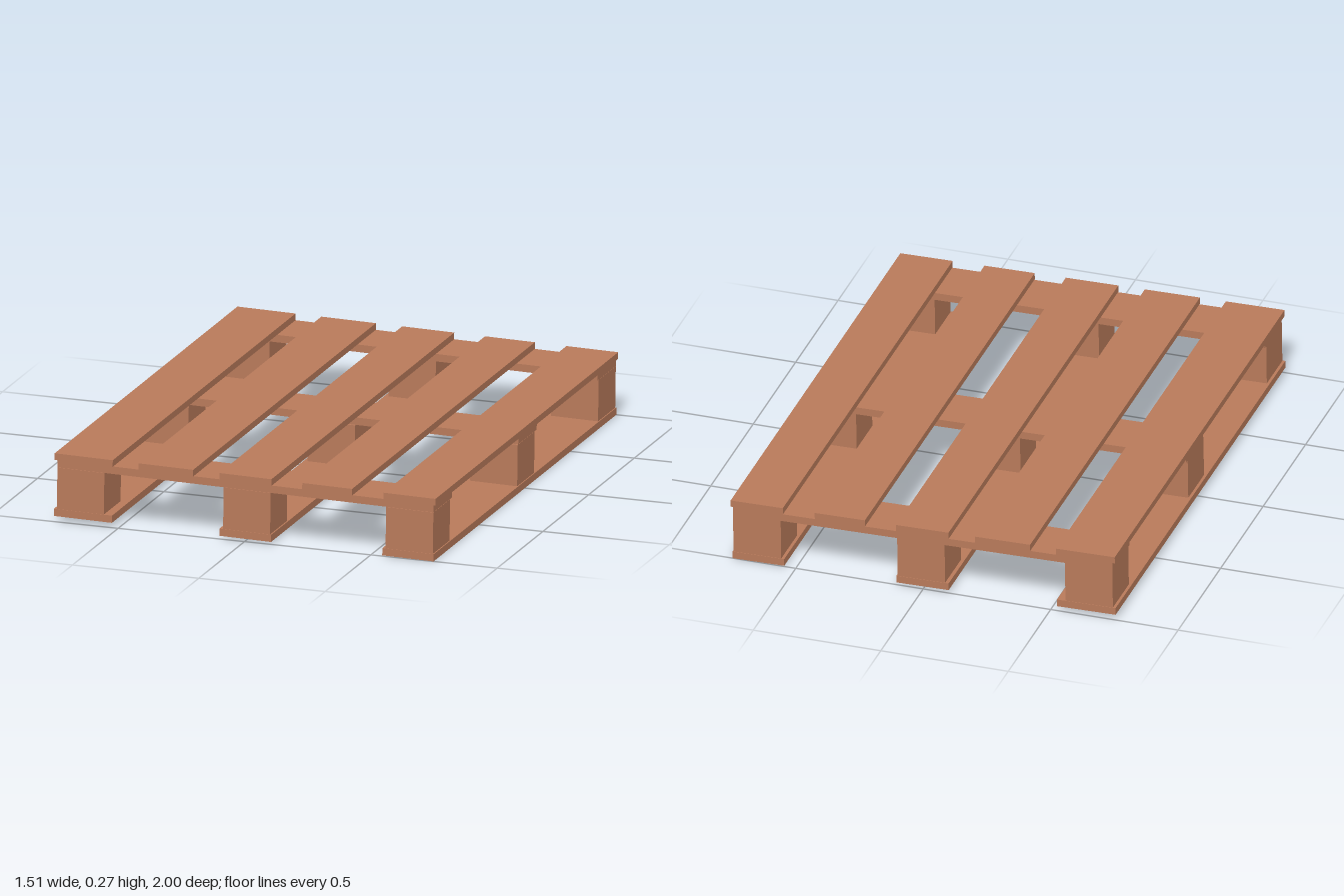
import * as THREE from 'three';

export function createModel() {
  const pallet = new THREE.Group();
  pallet.name = 'pallet';
  const wood = new THREE.MeshStandardMaterial({ color: 0xb87a5a, flatShading: true });

  // Box given by its extents along each axis
  function plank(name, [x0, x1], [y0, y1], [z0, z1]) {
    const mesh = new THREE.Mesh(new THREE.BoxGeometry(x1 - x0, y1 - y0, z1 - z0), wood);
    mesh.position.set((x0 + x1) / 2, (y0 + y1) / 2, (z0 + z1) / 2);
    mesh.name = name;
    pallet.add(mesh);
  }

  const length = [-1, 1];
  const bottomY = [0.011, 0.039], blockY = [0.039, 0.2], crossY = [0.2, 0.229], topY = [0.229, 0.255];

  // Long deck boards
  [[-0.755, -0.525], [-0.423, -0.207], [-0.103, 0.103], [0.225, 0.422], [0.547, 0.752]]
    .forEach(x => plank('deckBoard', x, topY, length));

  // Cross boards under the deck
  [[-1, -0.8], [-0.135, 0.067], [0.79, 0.995]]
    .forEach(z => plank('crossBoard', [-0.745, 0.743], crossY, z));

  // Bottom runners
  [[-0.755, -0.525], [-0.1, 0.105], [0.545, 0.748]]
    .forEach(x => plank('bottomRunner', x, bottomY, length));

  // Nine spacer blocks
  for (const x of [[-0.744, -0.558], [-0.086, 0.1], [0.557, 0.744]])
    for (const z of [[-0.998, -0.81], [-0.11, 0.075], [0.815, 0.998]])
      plank('spacerBlock', x, blockY, z);

  // The whole pallet leans slightly to one side
  pallet.rotation.z = -0.0147;
  const model = new THREE.Group();
  model.name = 'leaningPallet';
  model.add(pallet);
  return model;
}
